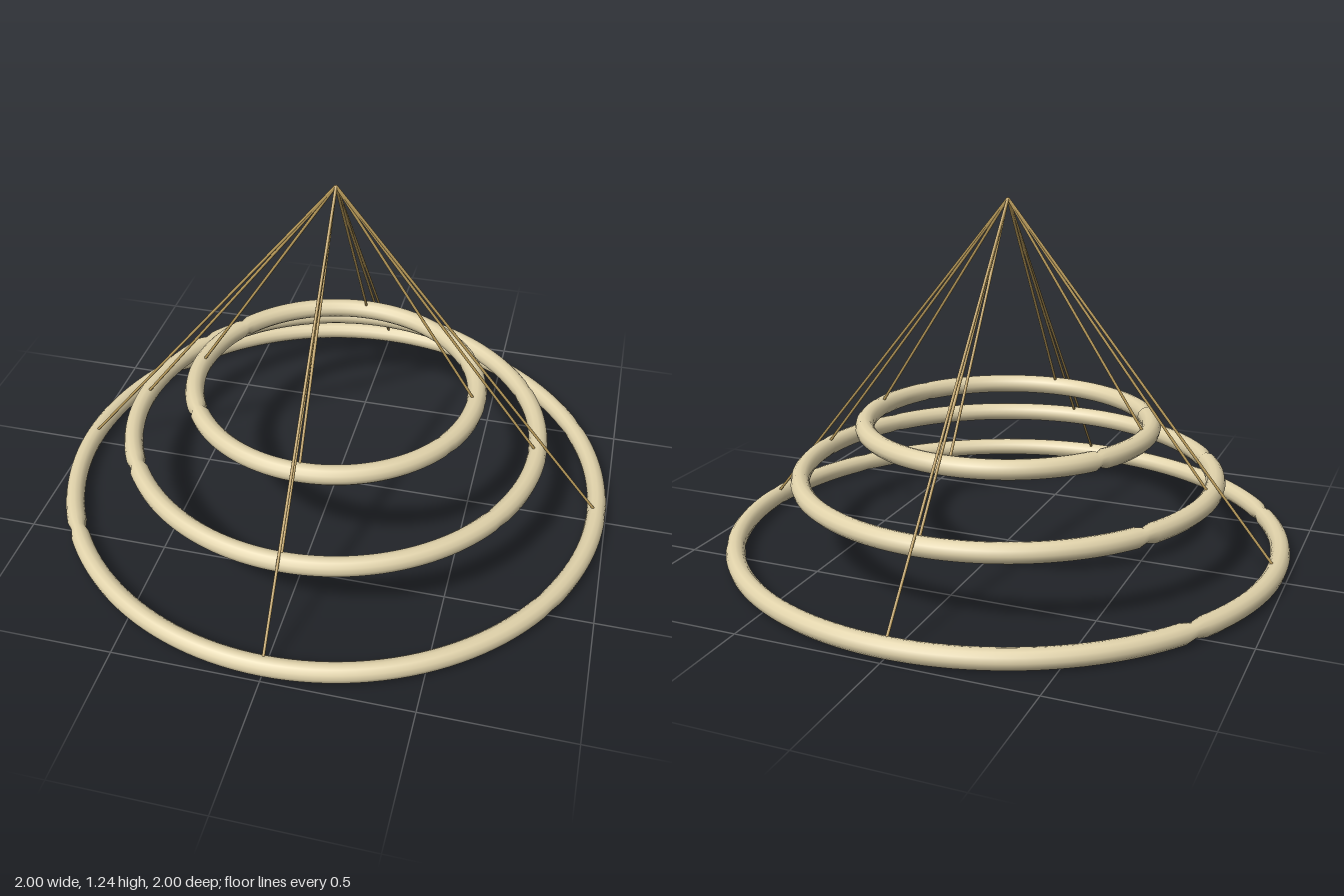
import * as THREE from 'three';

const APEX = new THREE.Vector3(0, 1.24, 0);
const TUBE = 0.034;
// ring centre-line radius and height
const RINGS = [
  { name: 'lower', radius: 0.964, y: 0.037 },
  { name: 'middle', radius: 0.732, y: 0.267 },
  { name: 'upper', radius: 0.502, y: 0.451 },
];
// joints between tube sections: angle in degrees and how far the tube narrows
const JOINTS = [[147.5, 0.25], [212.5, 0.25], [30, 0.08], [330, 0.08], [0, 0.05], [360, 0.05]];

// Torus lying flat, narrowed slightly at each joint
function ringGeometry(radius) {
  const geometry = new THREE.TorusGeometry(radius, TUBE, 12, 144);
  const pos = geometry.attributes.position;
  const uv = geometry.attributes.uv;
  for (let i = 0; i < pos.count; i++) {
    const degrees = uv.getX(i) * 360;
    let scale = 1;
    for (const [angle, depth] of JOINTS) {
      if (Math.abs(degrees - angle) < 1) scale = 1 - depth;
    }
    const a = THREE.MathUtils.degToRad(degrees);
    const cx = radius * Math.cos(a), cy = radius * Math.sin(a);
    pos.setXYZ(i, cx + (pos.getX(i) - cx) * scale, cy + (pos.getY(i) - cy) * scale, pos.getZ(i) * scale);
  }
  return geometry.rotateX(-Math.PI / 2);
}

// Thin straight cable between two points
function cable(from, to, material) {
  const direction = to.clone().sub(from);
  const mesh = new THREE.Mesh(new THREE.CylinderGeometry(0.005, 0.005, direction.length(), 8), material);
  mesh.position.copy(from).add(to).multiplyScalar(0.5);
  mesh.quaternion.setFromUnitVectors(new THREE.Vector3(0, 1, 0), direction.normalize());
  return mesh;
}

export function createModel() {
  const model = new THREE.Group();
  model.name = 'ringChandelier';
  const ringMaterial = new THREE.MeshStandardMaterial({ color: 0xe0d2aa });
  const cableMaterial = new THREE.MeshStandardMaterial({ color: 0xb89a5a });

  for (const { name, radius, y } of RINGS) {
    const ring = new THREE.Mesh(ringGeometry(radius), ringMaterial);
    ring.name = name + 'Ring';
    ring.position.y = y;
    model.add(ring);

    // four cables run from the apex to each ring
    const cables = new THREE.Group();
    cables.name = name + 'RingCables';
    for (let i = 0; i < 4; i++) {
      const a = i * Math.PI / 2;
      const r = radius - 0.012;
      const end = new THREE.Vector3(r * Math.cos(a), y + TUBE * 0.8, r * Math.sin(a));
      const wire = cable(end, APEX, cableMaterial);
      wire.name = 'cable';
      cables.add(wire);
    }
    model.add(cables);
  }
  return model;
}
